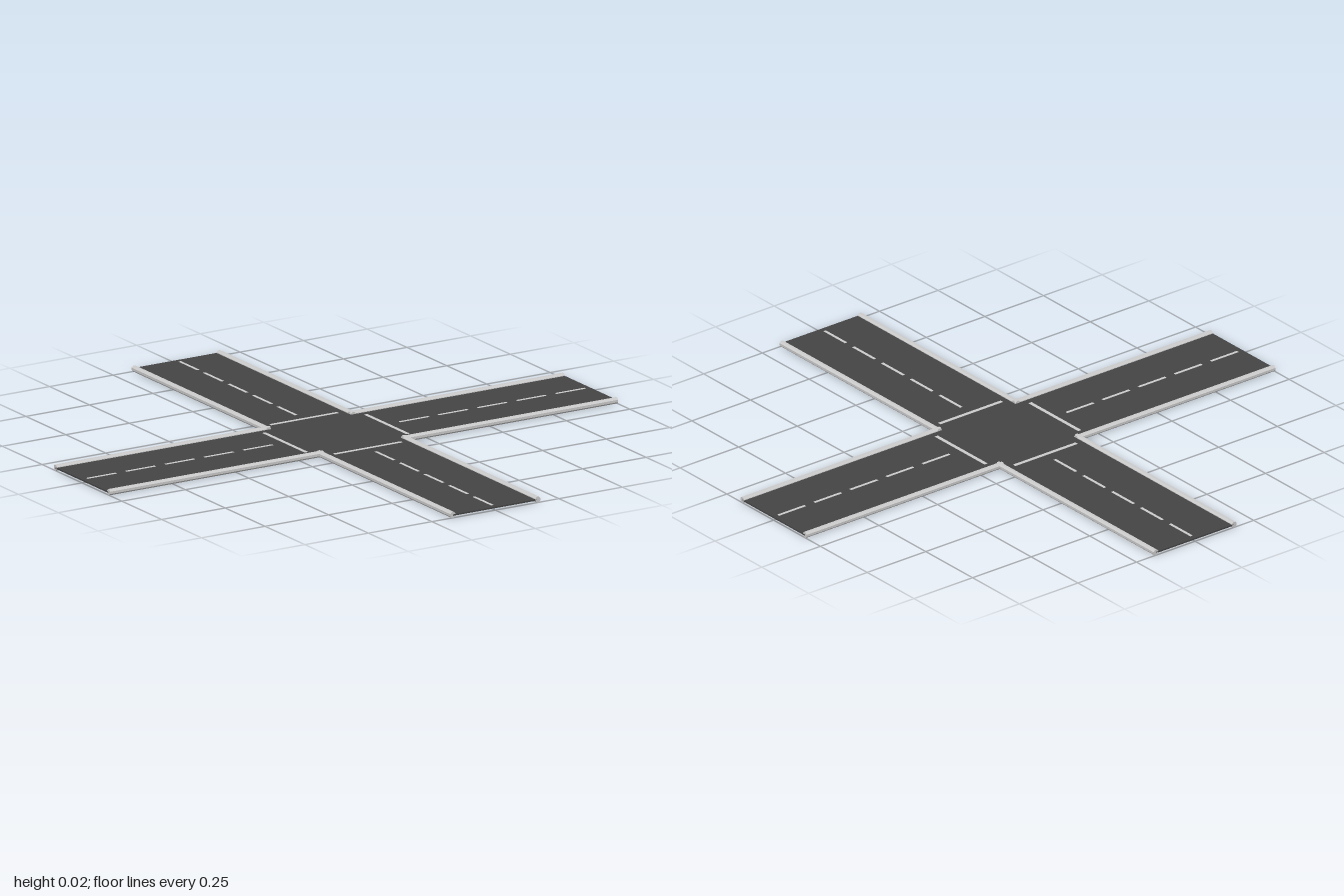
import * as THREE from 'three';

export function createModel() {
  const group = new THREE.Group();
  const asphalt = new THREE.MeshStandardMaterial({ color: 0x444444 });
  const paint = new THREE.MeshStandardMaterial({ color: 0xcccccc });
  const stone = new THREE.MeshStandardMaterial({ color: 0xcccccc, flatShading: true });

  const half = 0.167;      // road centre line to kerb centre line
  const roadTop = 0.012;
  const kerbRadius = 0.01;
  const kerbStart = 0.157;

  const add = (parent, name, geometry, material, x, y, z) => {
    const mesh = new THREE.Mesh(geometry, material);
    mesh.name = name;
    mesh.position.set(x, y, z);
    parent.add(mesh);
    return mesh;
  };

  // Cross-shaped road slab
  const cross = new THREE.Shape([
    [half, -1], [half, -half], [1, -half], [1, half], [half, half], [half, 1],
    [-half, 1], [-half, half], [-1, half], [-1, -half], [-half, -half], [-half, -1],
  ].map(([x, y]) => new THREE.Vector2(x, y)));
  const slab = new THREE.ExtrudeGeometry(cross, { depth: 0.005, bevelEnabled: false });
  slab.rotateX(-Math.PI / 2);
  add(group, 'roadSurface', slab, asphalt, 0, roadTop - 0.005, 0);

  // Shared geometry, running along +z
  const kerbLength = 1 - kerbStart;
  const kerb = new THREE.CylinderGeometry(kerbRadius / Math.cos(Math.PI / 8), kerbRadius / Math.cos(Math.PI / 8), kerbLength, 8);
  kerb.rotateY(Math.PI / 8);
  kerb.rotateX(Math.PI / 2);
  const dash = new THREE.BoxGeometry(0.01, 0.002, 0.115);
  const stopLine = new THREE.BoxGeometry(0.266, 0.002, 0.013);

  // Four identical arms: two kerbs, a stop line and five lane dashes each
  for (let i = 0; i < 4; i++) {
    const arm = new THREE.Group();
    arm.name = ['frontArm', 'leftArm', 'backArm', 'rightArm'][i];
    arm.rotation.y = i * Math.PI / 2;
    for (const side of [-1, 1]) {
      add(arm, 'kerb', kerb, stone, side * half, kerbRadius, kerbStart + kerbLength / 2);
    }
    add(arm, 'stopLine', stopLine, paint, 0, roadTop, 0.2);
    for (let d = 0; d < 5; d++) {
      add(arm, 'laneDash', dash, paint, 0, roadTop, 0.307 + d * 0.154);
    }
    group.add(arm);
  }
  return group;
}
